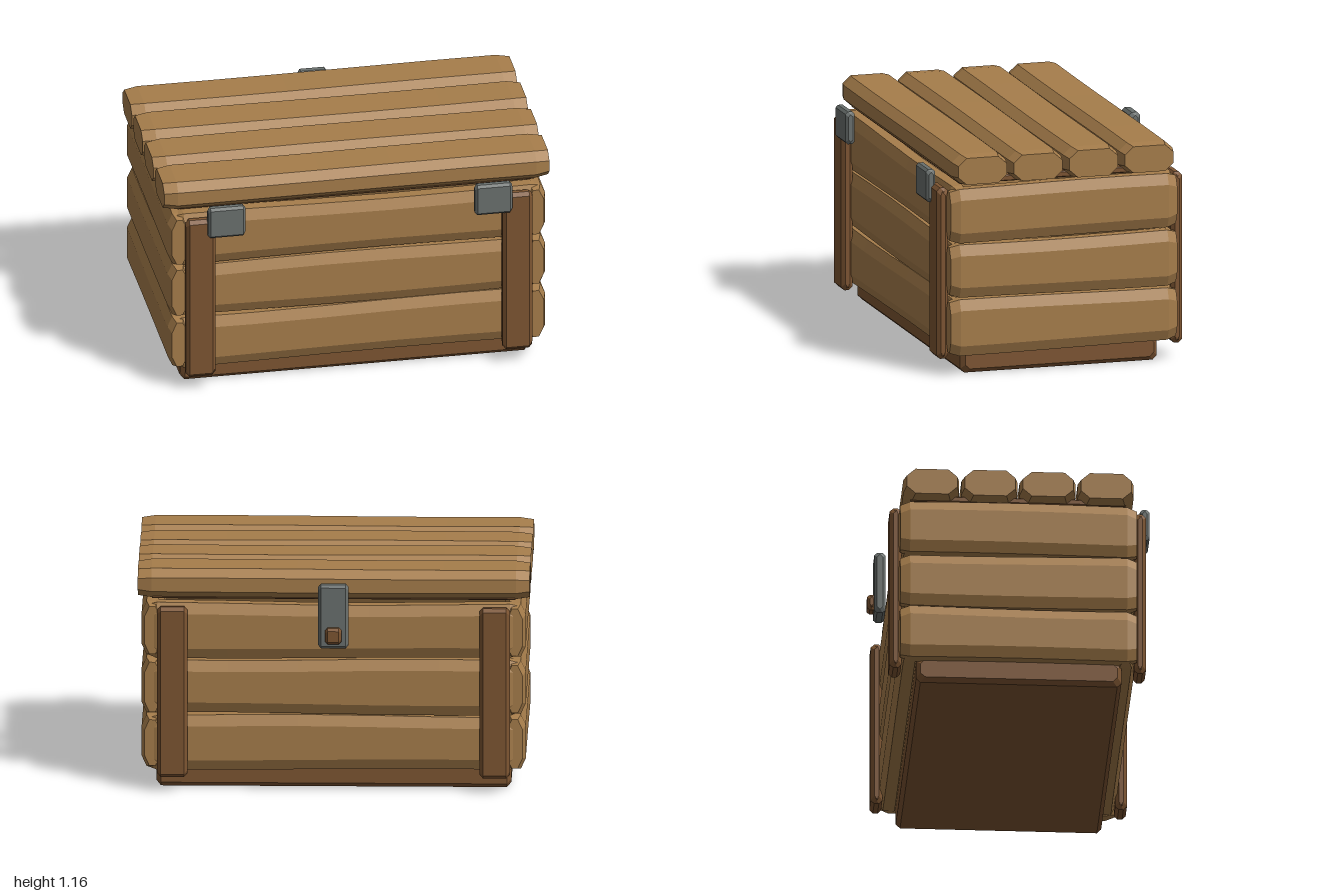
import * as THREE from 'three';

const WOOD = new THREE.MeshStandardMaterial({ color: 0xa67d4b, flatShading: true });
const DARK_WOOD = new THREE.MeshStandardMaterial({ color: 0x7d5532, flatShading: true });
const METAL = new THREE.MeshStandardMaterial({ color: 0x6a706e, flatShading: true });

// Chamfered bar along x: an octagonal section swept through stations, narrower at both ends.
// cutY/cutZ: chamfer of the section; taper: length of the end bevel; endY/endZ: inset at the ends;
// wave: small hand-cut wobble of the long edges.
function barGeometry(len, h, d, { cutY, cutZ, taper, endY, endZ, wave = 0, seed = 0 }) {
  const inner = len / 2 - taper;
  const xs = wave
    ? [-len / 2, -inner, -inner * 0.6, -inner * 0.2, inner * 0.2, inner * 0.6, inner, len / 2]
    : [-len / 2, -inner, inner, len / 2];
  const rings = xs.map((x, i) => {
    const end = i === 0 || i === xs.length - 1;
    const y = h / 2 - (end ? endY : 0);
    const z = d / 2 - (end ? endZ : 0);
    const top = wave * Math.sin(x * 3 + seed);
    const low = wave * Math.sin(x * 2.3 + seed * 1.7 + 1);
    return [
      [y, -z + cutZ], [y, z - cutZ], [y - cutY, z], [-y + cutY, z],
      [-y, z - cutZ], [-y, -z + cutZ], [-y + cutY, -z], [y - cutY, -z],
    ].map(([py, pz]) => [x, py + (py > 0 ? top : low), pz]);
  });
  const pos = [];
  const tri = (a, b, c) => pos.push(...a, ...b, ...c);
  for (let i = 0; i < rings.length - 1; i++) {
    for (let j = 0; j < 8; j++) {
      const k = (j + 1) % 8;
      tri(rings[i][j], rings[i][k], rings[i + 1][k]);
      tri(rings[i][j], rings[i + 1][k], rings[i + 1][j]);
    }
  }
  const first = rings[0], last = rings[rings.length - 1];
  for (let j = 1; j < 7; j++) {
    tri(last[0], last[j], last[j + 1]);
    tri(first[0], first[j + 1], first[j]);
  }
  const g = new THREE.BufferGeometry();
  g.setAttribute('position', new THREE.Float32BufferAttribute(pos, 3));
  g.computeVertexNormals();
  return g;
}

export function createModel() {
  const model = new THREE.Group();

  function add(name, geometry, material, x, y, z, turn = 0) {
    const mesh = new THREE.Mesh(geometry, material);
    mesh.name = name;
    mesh.position.set(x, y, z);
    mesh.rotation.y = turn;
    model.add(mesh);
  }

  // Bevelled block given by its limits on each axis
  function block(name, material, [x0, x1], [y0, y1], [z0, z1], c) {
    const g = barGeometry(x1 - x0, y1 - y0, z1 - z0, { cutY: c, cutZ: c, taper: c, endY: c, endZ: c });
    add(name, g, material, (x0 + x1) / 2, (y0 + y1) / 2, (z0 + z1) / 2);
  }

  // Floor
  block('base', DARK_WOOD, [-0.905, 0.905], [0, 0.14], [-0.5, 0.55], 0.022);

  // Three rows of planks around the hollow box
  const wall = { cutY: 0.055, cutZ: 0.025, taper: 0.05, endY: 0.015, endZ: 0.015, wave: 0.006 };
  for (let row = 0; row < 3; row++) {
    const y = 0.252 + row * 0.294;
    const plank = (len, seed) => barGeometry(len, 0.283, 0.11, { ...wall, seed: seed + row * 2 });
    add('frontPlank', plank(1.9, 0), WOOD, 0, y, 0.57);
    add('backPlank', plank(1.9, 1), WOOD, 0, y, -0.535);
    add('leftPlank', plank(1.21, 3), WOOD, 0.925, y, 0.02, Math.PI / 2);
    add('rightPlank', plank(1.21, 4), WOOD, -0.925, y, 0.02, -Math.PI / 2);
  }

  // Corner posts and hinge plates, mirrored left and right
  for (const s of [-1, 1]) {
    const span = (a, b) => (s > 0 ? [a, b] : [-b, -a]);
    block('frontPost', DARK_WOOD, span(0.745, 0.9), [0.08, 0.975], [0.615, 0.675], 0.018);
    block('backPost', DARK_WOOD, span(0.745, 0.9), [0.08, 0.975], [-0.635, -0.575], 0.018);
    block('hinge', METAL, span(0.595, 0.79), [0.88, 1.05], [0.65, 0.7], 0.013);
  }

  // Lid: thin inner panel under four heavy planks
  block('lidPanel', DARK_WOOD, [-0.93, 0.93], [0.998, 1.03], [-0.53, 0.57], 0.005);
  for (let i = 0; i < 4; i++) {
    const g = barGeometry(2, 0.152, 0.286, {
      cutY: 0.04, cutZ: 0.045, taper: 0.07, endY: 0.007, endZ: 0.014, wave: 0.002, seed: i * 2,
    });
    add('lidPlank', g, WOOD, 0, 1.078, 0.466 - i * 0.297);
  }

  // Latch and its peg at the back
  block('latch', METAL, [-0.077, 0.077], [0.77, 1.105], [-0.665, -0.608], 0.014);
  block('latchPeg', DARK_WOOD, [-0.042, 0.042], [0.8, 0.885], [-0.7, -0.655], 0.014);

  return model;
}
